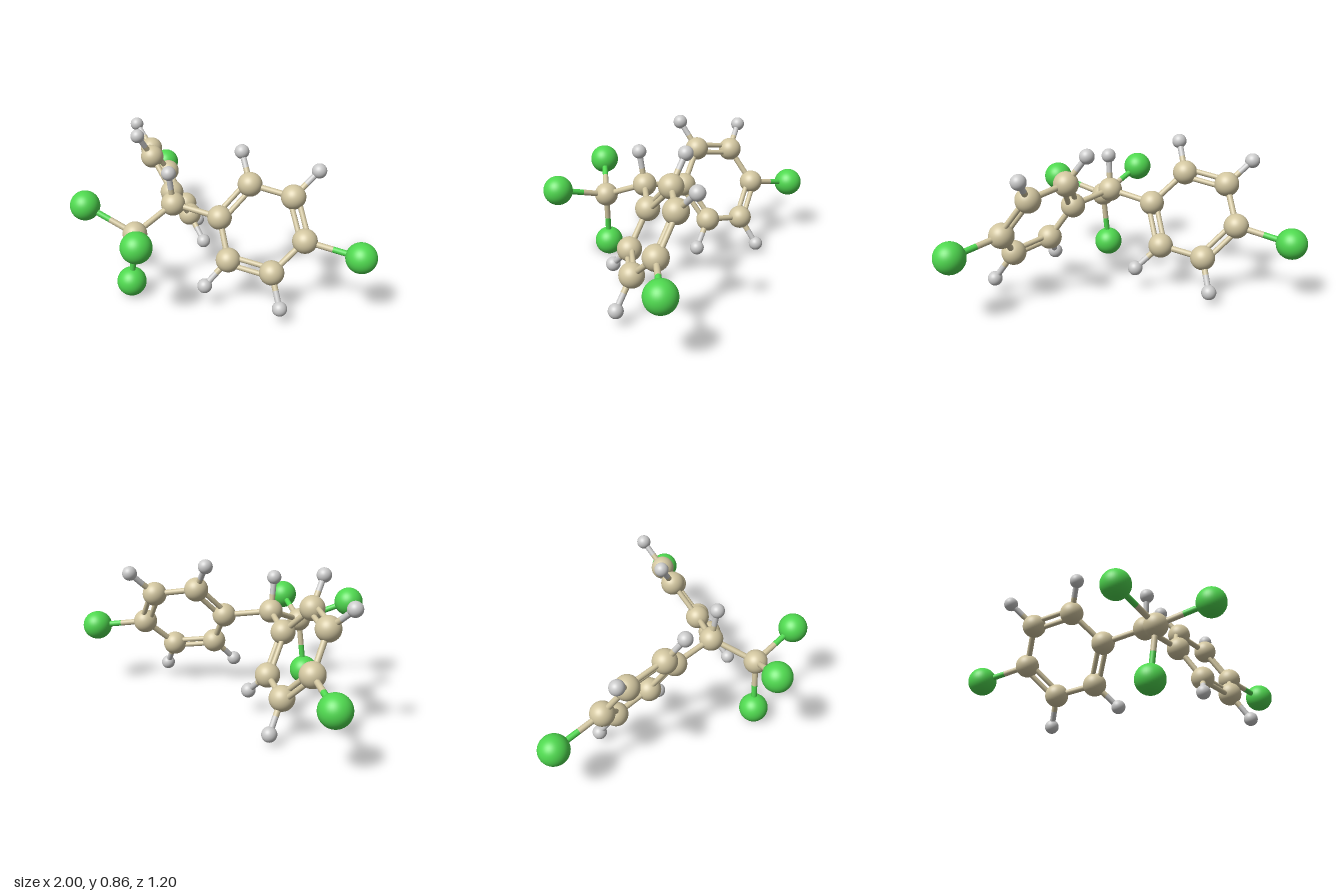
import * as THREE from 'three';

const UP = new THREE.Vector3(0, 1, 0);
const V = (p) => new THREE.Vector3(...p);

// Ball radius and colour of each kind of atom
const KINDS = {
  carbon: { radius: 0.07, color: 0xd2c6a0 },
  chlorine: { radius: 0.086, color: 0x4fd84f },
  hydrogen: { radius: 0.042, color: 0xcccccc },
};

// Ring atoms run ipso, ortho, meta, para, meta, ortho;
// each outer atom hangs on the ring carbon of the same index.
const RINGS = [
  {
    name: 'leftRing',
    ring: [[0.23, 0.49, -0.07], [0.286, 0.67, -0.242], [0.5, 0.633, -0.376],
      [0.645, 0.43, -0.338], [0.58, 0.259, -0.162], [0.365, 0.289, -0.027]],
    outer: [null, [0.174, 0.826, -0.272], [0.55, 0.772, -0.513],
      [0.911, 0.388, -0.502], [0.692, 0.094, -0.128], [0.323, 0.147, 0.106]],
    firstDouble: 0,
  },
  {
    name: 'rightRing',
    ring: [[-0.233, 0.48, -0.073], [-0.429, 0.653, -0.065], [-0.638, 0.612, -0.203],
      [-0.655, 0.409, -0.35], [-0.465, 0.233, -0.357], [-0.253, 0.272, -0.228]],
    outer: [null, [-0.42, 0.814, 0.047], [-0.788, 0.74, -0.192],
      [-0.917, 0.349, -0.518], [-0.474, 0.069, -0.468], [-0.106, 0.141, -0.225]],
    firstDouble: 1,
  },
];

export function createModel() {
  const model = new THREE.Group();
  model.name = 'moleculeModel';

  const materials = {};
  const balls = {};
  for (const [kind, { radius, color }] of Object.entries(KINDS)) {
    materials[kind] = new THREE.MeshStandardMaterial({ color });
    balls[kind] = new THREE.SphereGeometry(radius, 40, 28);
  }

  function addAtom(parent, kind, pos, name) {
    const ball = new THREE.Mesh(balls[kind], materials[kind]);
    ball.name = name;
    ball.position.copy(pos);
    parent.add(ball);
    return { kind, pos };
  }

  // One rod, split at the middle when the two atoms differ in colour
  function addRod(parent, a, b, radius, offset, name) {
    const from = a.pos.clone().add(offset);
    const to = b.pos.clone().add(offset);
    const mid = from.clone().lerp(to, 0.5);
    const pieces = a.kind === b.kind
      ? [[from, to, a.kind]]
      : [[from, mid, a.kind], [mid, to, b.kind]];
    for (const [p, q, kind] of pieces) {
      const dir = q.clone().sub(p);
      const rod = new THREE.Mesh(
        new THREE.CylinderGeometry(radius, radius, dir.length(), 20), materials[kind]);
      rod.name = name;
      rod.position.copy(p).lerp(q, 0.5);
      rod.quaternion.setFromUnitVectors(UP, dir.normalize());
      parent.add(rod);
    }
  }

  const addSingle = (parent, a, b) =>
    addRod(parent, a, b, 0.017, new THREE.Vector3(), 'singleBond');

  // Two rods side by side in the plane with the given normal
  function addDouble(parent, a, b, normal) {
    const side = b.pos.clone().sub(a.pos).cross(normal).setLength(0.023);
    for (const s of [-1, 1]) {
      addRod(parent, a, b, 0.015, side.clone().multiplyScalar(s), 'doubleBond');
    }
  }

  // Central carbon with its upright hydrogen
  const core = new THREE.Group();
  core.name = 'core';
  model.add(core);
  const centre = addAtom(core, 'carbon', V([-0.012, 0.528, 0.08]), 'centralCarbon');
  const top = addAtom(core, 'hydrogen', V([-0.008, 0.727, 0.113]), 'centralHydrogen');
  addSingle(core, centre, top);

  // Front carbon carrying three chlorines
  const front = new THREE.Group();
  front.name = 'trichloromethylGroup';
  model.add(front);
  const hub = addAtom(front, 'carbon', V([-0.012, 0.416, 0.348]), 'frontCarbon');
  addSingle(front, centre, hub);
  for (const p of [[-0.268, 0.544, 0.514], [0.256, 0.502, 0.514], [-0.047, 0.09, 0.358]]) {
    addSingle(front, hub, addAtom(front, 'chlorine', V(p), 'frontChlorine'));
  }

  // Two six-carbon rings with alternating double bonds
  for (const { name, ring, outer, firstDouble } of RINGS) {
    const group = new THREE.Group();
    group.name = name;
    model.add(group);
    const carbons = ring.map((p) => addAtom(group, 'carbon', V(p), 'ringCarbon'));
    const normal = carbons[2].pos.clone().sub(carbons[0].pos)
      .cross(carbons[4].pos.clone().sub(carbons[0].pos)).normalize();

    addSingle(group, centre, carbons[0]);
    carbons.forEach((carbon, i) => {
      const next = carbons[(i + 1) % 6];
      if (i % 2 === firstDouble) addDouble(group, carbon, next, normal);
      else addSingle(group, carbon, next);

      if (!outer[i]) return;
      const kind = i === 3 ? 'chlorine' : 'hydrogen';
      const label = i === 3 ? 'ringChlorine' : 'ringHydrogen';
      addSingle(group, carbon, addAtom(group, kind, V(outer[i]), label));
    });
  }

  return model;
}
